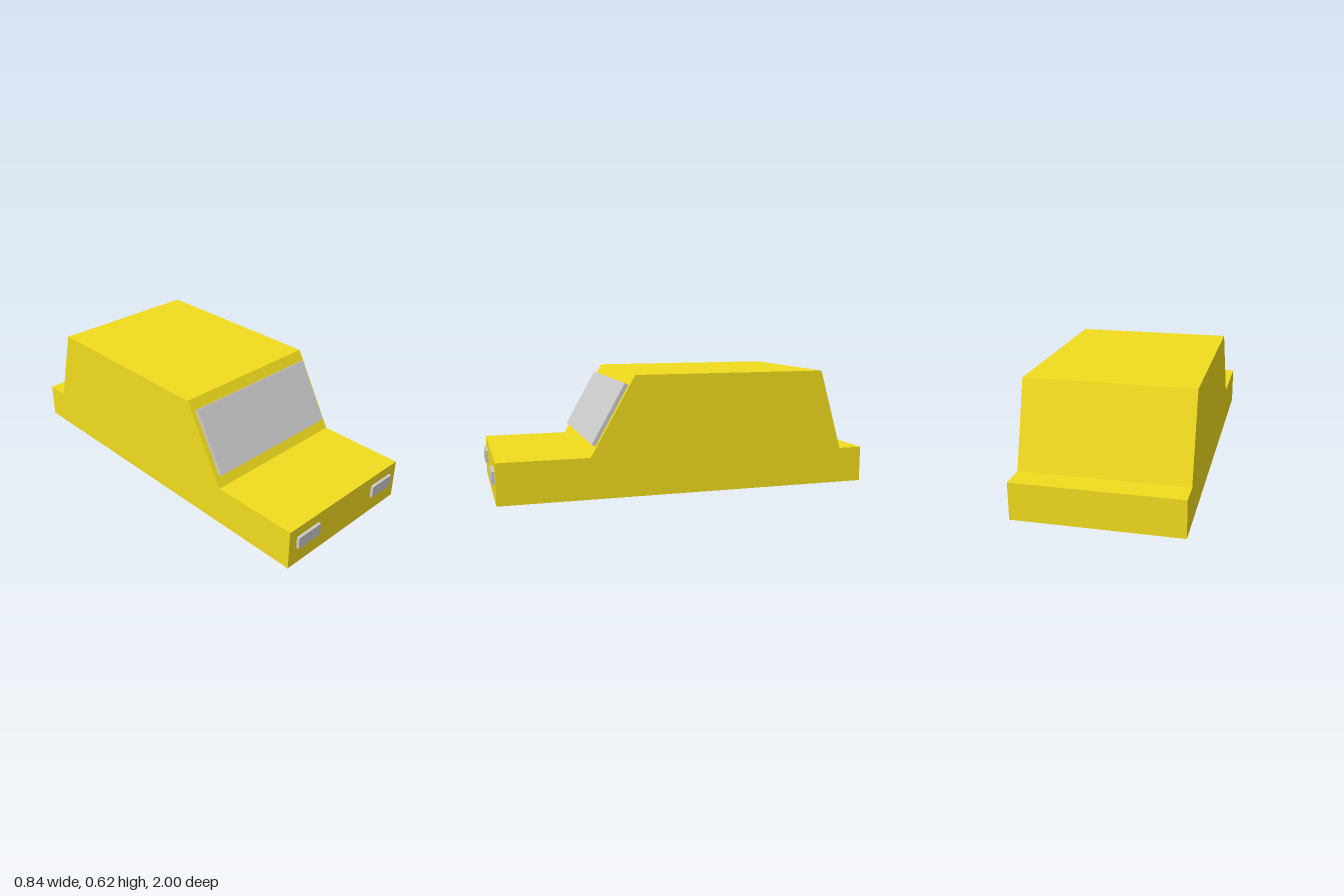
import * as THREE from 'three';

export function createModel() {
  const group = new THREE.Group();
  const paint = new THREE.MeshStandardMaterial({ color: 0xf2dc1e, flatShading: true });
  const grey = new THREE.MeshStandardMaterial({ color: 0xcccccc, flatShading: true });

  const add = (name, geometry, material) => {
    const mesh = new THREE.Mesh(geometry, material);
    mesh.name = name;
    group.add(mesh);
    return mesh;
  };

  // Body: side profile as (z, y), extruded across the width
  const width = 0.84;
  const slopeBottom = new THREE.Vector2(0.52, 0.213);
  const slopeTop = new THREE.Vector2(0.29, 0.62);
  const profile = new THREE.Shape([
    new THREE.Vector2(-1, 0),
    new THREE.Vector2(0.985, 0),
    new THREE.Vector2(0.985, 0.213),
    slopeBottom,
    slopeTop,
    new THREE.Vector2(-0.745, 0.62),
    new THREE.Vector2(-0.87, 0.19),
    new THREE.Vector2(-1, 0.19),
  ]);
  const body = new THREE.ExtrudeGeometry(profile, { depth: width, bevelEnabled: false });
  body.translate(0, 0, -width / 2).rotateY(-Math.PI / 2);
  add('body', body, paint);

  // Windscreen: thin plate lying on the front slope
  const thickness = 0.021;
  const lean = Math.atan2(slopeBottom.x - slopeTop.x, slopeTop.y - slopeBottom.y);
  const windscreen = add('windscreen', new THREE.BoxGeometry(0.79, 0.35, thickness), grey);
  windscreen.position.set(0, (slopeBottom.y + slopeTop.y) / 2, (slopeBottom.x + slopeTop.x) / 2);
  windscreen.rotation.x = -lean;
  windscreen.translateZ(thickness / 2);

  // Headlights
  for (const side of [1, -1]) {
    const light = add(side > 0 ? 'leftHeadlight' : 'rightHeadlight',
      new THREE.BoxGeometry(0.158, 0.065, 0.015), grey);
    light.position.set(side * 0.289, 0.128, 0.9925);
  }

  return group;
}
